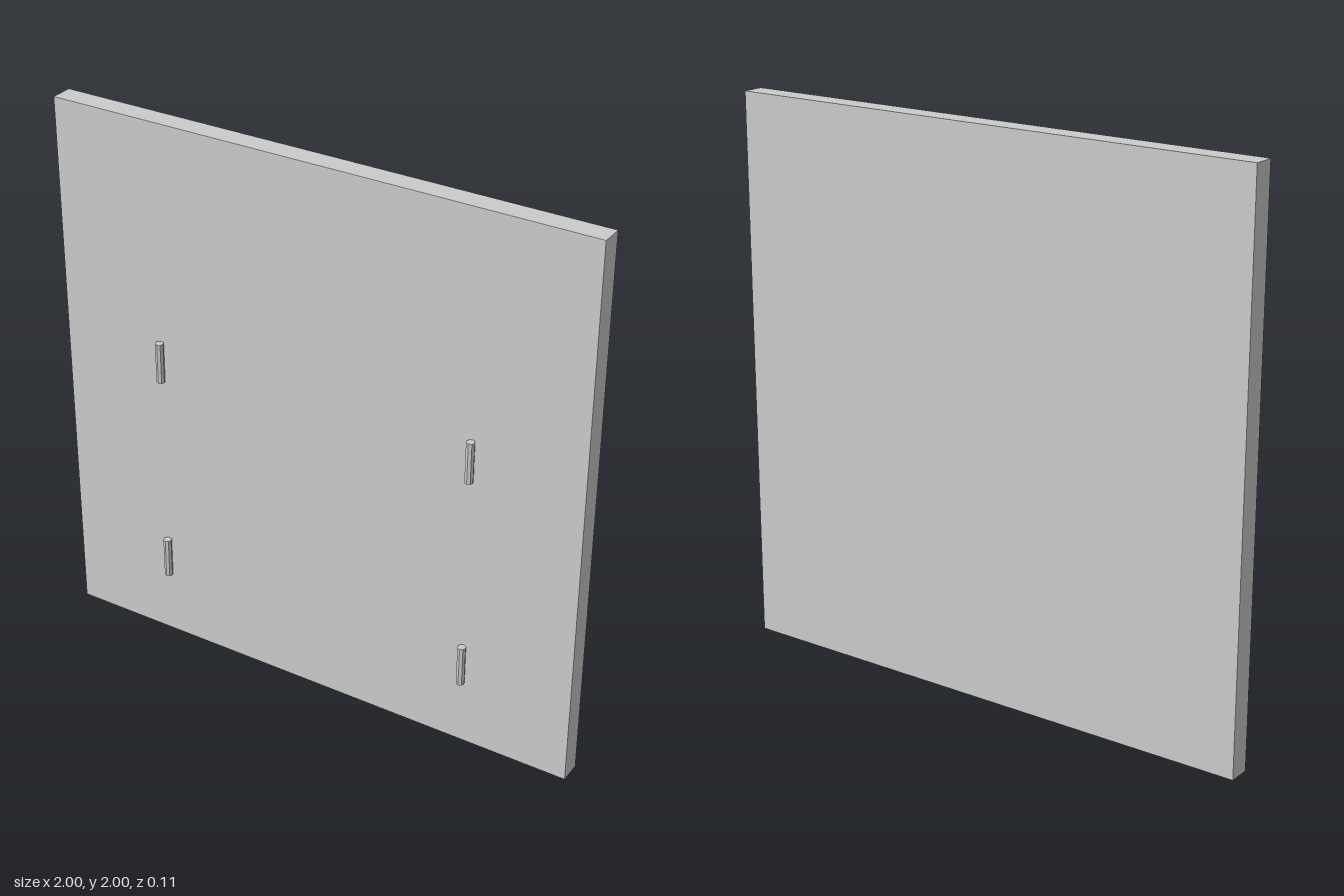
import * as THREE from 'three';

const W = 2, H = 2, BACK = -0.055, FRONT = 0.025;
const DEPTH = FRONT - BACK, MID = (FRONT + BACK) / 2;

export function createModel() {
  const group = new THREE.Group();
  const material = new THREE.MeshStandardMaterial({ color: 0xcccccc, flatShading: true, side: THREE.DoubleSide });

  const add = (name, geometry, x, y, z, rx = 0, ry = 0) => {
    const mesh = new THREE.Mesh(geometry, material);
    mesh.name = name;
    mesh.position.set(x, y, z);
    mesh.rotation.set(rx, ry, 0);
    group.add(mesh);
  };

  // Thin-walled hollow panel, open at the bottom
  const face = new THREE.PlaneGeometry(W, H);
  add('frontPanel', face, 0, H / 2, FRONT);
  add('backPanel', face, 0, H / 2, BACK, 0, Math.PI);
  add('topPanel', new THREE.PlaneGeometry(W, DEPTH), 0, H, MID, -Math.PI / 2);

  // End walls and the upright ribs between them
  const upright = new THREE.PlaneGeometry(DEPTH, H);
  for (const s of [-1, 1]) add(s > 0 ? 'leftWall' : 'rightWall', upright, s * W / 2, H / 2, MID, 0, s * Math.PI / 2);
  for (const x of [-0.6, 0, 0.6]) add('innerRib', upright, x, H / 2, MID, 0, Math.PI / 2);

  // Four hinge pins on the front
  const pin = new THREE.CylinderGeometry(0.015, 0.015, 0.15, 8);
  for (const x of [-0.6, 0.6])
    for (const y of [0.325, 1.125]) add('hingePin', pin, x, y, FRONT + 0.015);

  return group;
}
